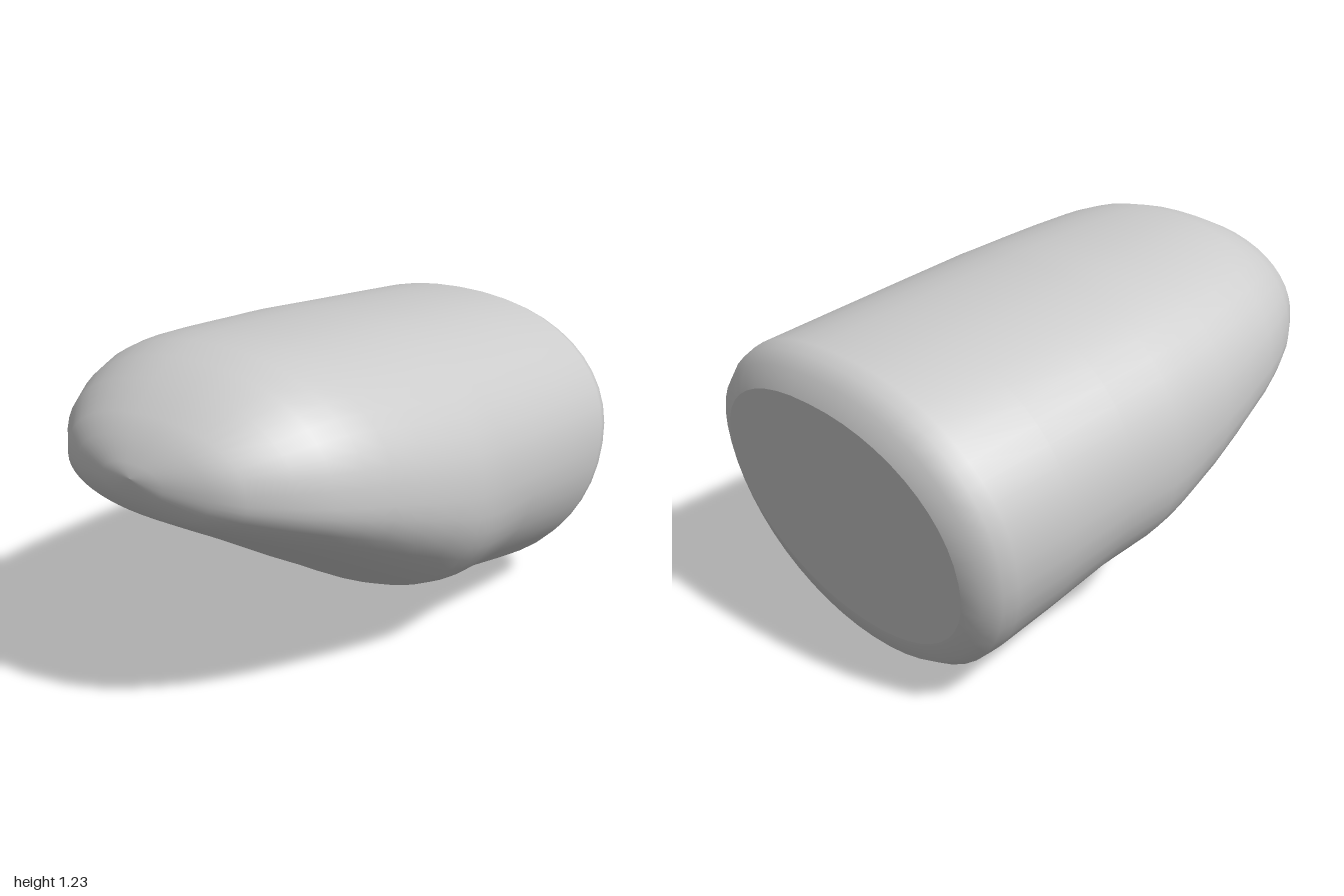
import * as THREE from 'three';

const SEGMENTS = 48;

// Each ring: [top z, top y, bottom z, bottom y, half width, height of widest point]
const RINGS = [
  [1, 0.92, 1, 0.92, 0, 0.92],
  [0.99, 0.965, 0.99, 0.855, 0.12, 0.905],
  [0.95, 1.03, 0.95, 0.79, 0.265, 0.895],
  [0.9, 1.085, 0.9, 0.752, 0.36, 0.885],
  [0.8, 1.16, 0.8, 0.69, 0.465, 0.87],
  [0.7, 1.205, 0.7, 0.63, 0.53, 0.85],
  [0.6, 1.23, 0.6, 0.568, 0.575, 0.83],
  [0.5, 1.232, 0.5, 0.505, 0.607, 0.81],
  [0.35, 1.222, 0.35, 0.41, 0.637, 0.77],
  [0.2, 1.21, 0.2, 0.32, 0.66, 0.73],
  [0.07, 1.2, 0.07, 0.238, 0.671, 0.7],
  [0, 1.195, 0, 0.203, 0.676, 0.69],
  [-0.07, 1.187, -0.07, 0.18, 0.678, 0.68],
  [-0.3, 1.16, -0.27, 0.124, 0.682, 0.66],
  [-0.6, 1.127, -0.5, 0.06, 0.682, 0.63],
  [-0.88, 1.095, -0.69, 0.008, 0.68, 0.61],
  [-0.925, 1.077, -0.75, 0, 0.669, 0.6],
  [-0.97, 1.04, -0.815, 0.045, 0.635, 0.58],
  [-1, 0.97, -0.84, 0.12, 0.57, 0.56],
];

// Rounded, slightly squared cross-section; tilted where top and bottom z differ
function ringPoints([topZ, topY, botZ, botY, halfWidth, midY]) {
  const points = [];
  for (let j = 0; j < SEGMENTS; j++) {
    const t = (j / SEGMENTS) * Math.PI * 2;
    const c = Math.cos(t), s = Math.sin(t);
    const power = 2 / (s > 0 ? 2.2 : botZ > -0.1 ? 2.25 : 2.05);
    const x = halfWidth * Math.sign(c) * Math.abs(c) ** power;
    const y = midY + (s > 0 ? topY - midY : midY - botY) * Math.sign(s) * Math.abs(s) ** power;
    const k = topY > botY ? (y - botY) / (topY - botY) : 0;
    points.push(x, y, botZ + (topZ - botZ) * k);
  }
  return points;
}

function buildGeometry(positions, index) {
  const geometry = new THREE.BufferGeometry();
  geometry.setAttribute('position', new THREE.Float32BufferAttribute(positions, 3));
  geometry.setIndex(index);
  geometry.computeVertexNormals();
  return geometry;
}

export function createModel() {
  const group = new THREE.Group();
  group.name = 'roundedWedge';
  const material = new THREE.MeshStandardMaterial({ color: 0xcccccc });

  // Body lofted from the nose to the back rim
  const index = [];
  for (let i = 0; i < RINGS.length - 1; i++) {
    for (let j = 0; j < SEGMENTS; j++) {
      const a = i * SEGMENTS + j, b = i * SEGMENTS + ((j + 1) % SEGMENTS);
      const c = a + SEGMENTS, d = b + SEGMENTS;
      if (i > 0) index.push(a, c, b);
      index.push(b, c, d);
    }
  }
  const body = new THREE.Mesh(buildGeometry(RINGS.flatMap(ringPoints), index), material);
  body.name = 'body';
  group.add(body);

  // Flat tilted face closing the back
  const rim = ringPoints(RINGS[RINGS.length - 1]);
  const fan = [];
  for (let j = 0; j < SEGMENTS; j++) fan.push(SEGMENTS, (j + 1) % SEGMENTS, j);
  const back = new THREE.Mesh(buildGeometry([...rim, 0, 0.545, -0.92], fan), material);
  back.name = 'backFace';
  group.add(back);

  return group;
}
